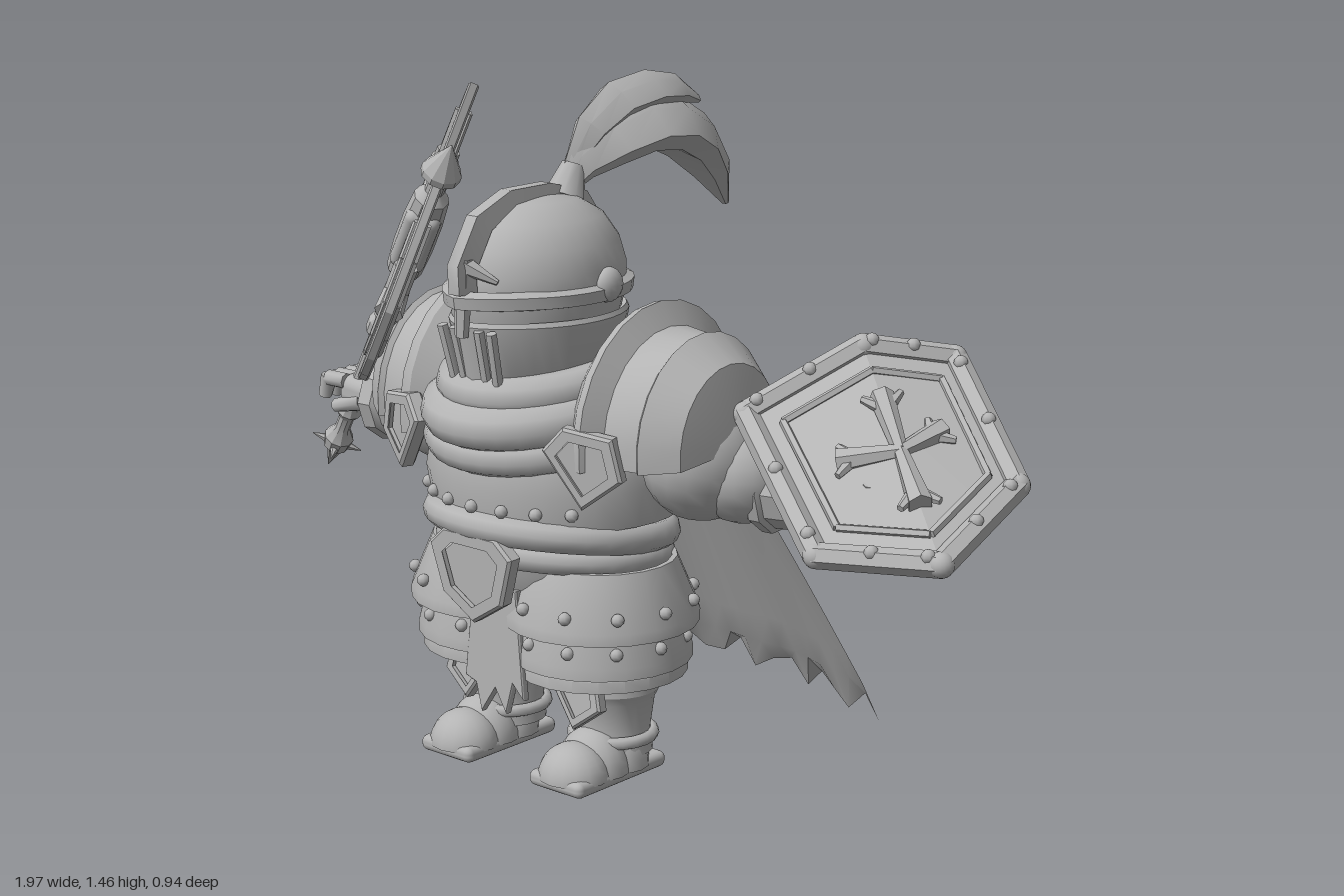
import * as THREE from 'three';
import { toCreasedNormals } from 'three/addons/utils/BufferGeometryUtils.js';
import { RoundedBoxGeometry } from 'three/addons/geometries/RoundedBoxGeometry.js';

const steel = new THREE.MeshStandardMaterial({ color: 0xb4b4b4, side: THREE.DoubleSide });
steel.name = 'steel grey';
const V = (x, y, z) => new THREE.Vector3(x, y, z);
const P = (list) => list.map(([x, y]) => new THREE.Vector2(x, y));

function add(parent, name, geo, pos = [0, 0, 0], rot = [0, 0, 0], scale = [1, 1, 1]) {
  const m = new THREE.Mesh(geo, steel);
  m.name = name;
  m.position.set(...pos); m.rotation.set(...rot); m.scale.set(...scale);
  parent.add(m);
  return m;
}
function group(parent, name) {
  const g = new THREE.Group();
  g.name = name; parent.add(g);
  return g;
}
const ball = (parent, name, pos, scale, rot) =>
  add(parent, name, new THREE.SphereGeometry(1, 18, 12), pos, rot, scale);
const rivet = (parent, p, r = 0.014) => add(parent, 'rivet', new THREE.SphereGeometry(r, 8, 6), p);

// cylinder between two points
function bar(parent, name, p, q, r1, r2 = r1, sides = 8) {
  const d = q.clone().sub(p);
  const m = add(parent, name, toCreasedNormals(new THREE.CylinderGeometry(r2, r1, d.length(), sides), 0.9),
    p.clone().lerp(q, 0.5).toArray());
  m.quaternion.setFromUnitVectors(V(0, 1, 0), d.normalize());
  return m;
}
// lathe with sharp edges kept
const lathe = (pts, seg = 24, start = 0, len = Math.PI * 2, crease = 0.5) =>
  toCreasedNormals(new THREE.LatheGeometry(P(pts), seg, start, len), crease);

// surface through cross-sections; quads where skip(i, j) is true are left out
function loft(rings, closed, skip = () => false) {
  const n = rings[0].length, idx = [];
  for (let i = 0; i < rings.length - 1; i++) for (let j = 0; j < (closed ? n : n - 1); j++) {
    if (skip(i, j)) continue;
    const a = i * n + j, b = i * n + (j + 1) % n;
    idx.push(a, b, a + n, b, b + n, a + n);
  }
  const g = new THREE.BufferGeometry();
  g.setAttribute('position', new THREE.Float32BufferAttribute(rings.flat().flatMap((p) => p.toArray()), 3));
  g.setIndex(idx);
  return toCreasedNormals(g, 0.6);
}
// convex prism from a polygon and an offset
function slab(pts, off) {
  const low = pts.map((p) => p.clone().add(off)), mid = (l) => l[0].clone().lerp(l[2], 0.5);
  return loft([pts.map(() => mid(pts)), pts, low, pts.map(() => mid(low))], true);
}
const extrude = (shape, depth, bevel = 0.006) => toCreasedNormals(new THREE.ExtrudeGeometry(shape,
  { depth, bevelSize: bevel, bevelThickness: bevel, bevelSegments: 1 }), 0.4);

// framed badge: raised border round a domed plate
function badge(parent, name, pts, pos, rot, size = 1) {
  const g = group(parent, name);
  const inner = pts.map(([x, y]) => [x * 0.72, y * 0.72]);
  const frame = new THREE.Shape(P(pts));
  frame.holes.push(new THREE.Path(P(inner)));
  add(g, 'border', extrude(frame, 0.025));
  add(g, 'plate', extrude(new THREE.Shape(P(inner)), 0.012, 0.008));
  g.position.set(...pos); g.rotation.set(...rot); g.scale.setScalar(size);
}
const PENTAGON = [[-0.08, 0.03], [-0.04, 0.075], [0.06, 0.06], [0.08, -0.02], [0, -0.08]];

function side(parent, s) {
  const g = group(parent, s > 0 ? 'leftSide' : 'rightSide');
  g.scale.x = s;
  // leg and boot
  add(g, 'leg', lathe([[0, 0.05], [0.085, 0.05], [0.08, 0.1], [0.09, 0.17], [0.1, 0.19], [0.095, 0.3], [0.14, 0.45], [0, 0.48]]), [0.155, 0, 0.15]);
  add(g, 'ankleBand', new THREE.TorusGeometry(0.085, 0.014, 8, 20), [0.155, 0.085, 0.15], [Math.PI / 2, 0, 0]);
  add(g, 'sole', new RoundedBoxGeometry(0.15, 0.035, 0.28, 2, 0.015), [0.16, 0.018, 0.205]);
  [[0.16, 0.11], [0.22, 0.095], [0.28, 0.075]].forEach(([z, h], i) =>
    add(g, 'bootPlate', new THREE.SphereGeometry(1, 16, 8, 0, Math.PI * 2, 0, Math.PI / 2), [0.16, 0.02, z], [0, 0, 0], [0.085 - i * 0.003, h, 0.075]));
  badge(g, 'kneeGuard', PENTAGON, [0.155, 0.19, 0.25], [-0.1, 0.05, 0], 0.8);
  // two-tier hip guard
  [[0.26, 0.4, 0.155, 0.175], [0.34, 0.48, 0.15, 0.19], [0.23, 0.3, 0.15, 0.165]].forEach(([y0, y1, r1, r0]) => {
    add(g, 'hipPlate', lathe([[r1, y1], [r0, y0], [r0 + 0.02, y0], [r0 + 0.02, y0 + 0.025], [r1 + 0.012, y1], [r1, y1]], 12, -0.5, 3.6),
      [0.135, 0, 0.165]);
    for (let a = -0.2; a < 3; a += 0.55) rivet(g, [0.135 + (r0 + 0.012) * Math.sin(a), y0 + 0.055, 0.165 + (r0 + 0.012) * Math.cos(a)]);
  });
  // shoulder guard: raised collar falling to an outer cap
  const cap = lathe([[0.2, 0.17], [0.27, 0.235], [0.275, 0.255], [0.255, 0.265], [0.225, 0.28], [0.215, 0.36], [0.225, 0.37], [0.17, 0.44], [0, 0.47]],
    14, Math.PI - 0.15, Math.PI + 0.3, 0.4);
  add(g, 'shoulderGuard', cap, [0, 0.755, 0.11], [0, 0, -Math.PI / 2], [1, 1, 0.93]);
  badge(g, 'shoulderBadge', PENTAGON, [0.25, 0.725, 0.335], [0, 0.35, 0]);
  badge(g, 'backBadge', PENTAGON, [0.24, 0.75, -0.11], [0, Math.PI - 0.3, 0], 0.8);
  // arm
  ball(g, 'shoulder', [0.36, 0.72, 0.09], [0.125, 0.14, 0.15], [0, 0, -0.2]);
  ball(g, 'upperArm', [0.43, 0.69, 0.05], [0.11, 0.11, 0.12]);
  const cuff = lathe([[0, 0], [0.085, 0], [0.1, 0.02], [0.1, 0.045], [0.088, 0.05], [0.082, 0.14], [0.094, 0.15], [0.1, 0.185], [0.08, 0.19], [0.05, 0.16], [0, 0.16]], 10);
  add(g, 'cuff', cuff, [0.46, 0.665, 0.03], [0, 0.1, -Math.PI / 2]);
  ball(g, 'elbowGuard', [0.5, 0.66, -0.05], [0.07, 0.07, 0.05]);
  add(g, 'hand', new RoundedBoxGeometry(0.13, 0.075, 0.12, 3, 0.03), [0.71, 0.665, 0.005], [0, 0, 0.1]);
  for (let i = 0; i < 4; i++) {
    const z = -0.045 + i * 0.032;
    bar(g, 'finger', V(0.75, 0.69, z), V(0.81, 0.69, z), 0.019);
    bar(g, 'fingertip', V(0.81, 0.695, z), V(0.825, 0.645, z), 0.019, 0.015);
  }
  bar(g, 'thumb', V(0.7, 0.65, 0.05), V(0.78, 0.63, 0.06), 0.022, 0.016);
}

function helmet(body) {
  const g = group(body, 'helmet');
  // dome, brow and face plate, drawn out to a beak in front
  const beak = (geo, amount) => {
    const p = geo.attributes.position;
    for (let i = 0; i < p.count; i++) if (p.getZ(i) > 0) p.setZ(i, p.getZ(i) + amount * Math.max(0, 1 - Math.abs(p.getX(i)) / 0.13));
    return toCreasedNormals(geo, 0.6);
  };
  const turned = (pts) => new THREE.LatheGeometry(P(pts), 32).scale(1, 1, 1.22);
  add(g, 'dome', beak(turned([[0.15, 0.98], [0.163, 1.04], [0.163, 1.09], [0.15, 1.14], [0.12, 1.19], [0.07, 1.225], [0, 1.235]]), 0.01), [0, 0, 0.2]);
  add(g, 'brow', beak(turned([[0.155, 1.025], [0.175, 1.03], [0.178, 1.055], [0.16, 1.065]]), 0.04), [0, 0, 0.2]);
  add(g, 'facePlate', beak(turned([[0.11, 0.81], [0.145, 0.85], [0.168, 0.99], [0.163, 1.0], [0.148, 0.99]]), 0.025), [0, 0, 0.2]);
  [-0.06, -0.03, 0.03, 0.06].forEach((x) =>
    bar(g, 'faceBar', V(x, 0.86, 0.39), V(x * 1.15, 0.985, 0.42), 0.011));
  bar(g, 'noseGuard', V(0, 0.97, 0.435), V(0, 1.13, 0.425), 0.014, 0.024, 6);
  [-1, 1].forEach((s) => {
    add(g, 'earBoss', new THREE.SphereGeometry(0.037, 14, 10), [s * 0.162, 1.06, 0.17], [0, 0, 0], [0.7, 1, 1]);
    bar(g, 'browWing', V(0, 1.12, 0.43), V(s * 0.065, 1.085, 0.395), 0.022, 0.006, 6);
  });
  // crest ridge along the centre line
  const ridge = [[0.455, 1.06], [0.458, 1.12], [0.4, 1.215], [0.3, 1.255], [0.18, 1.255], [0.07, 1.225], [-0.01, 1.12]];
  add(g, 'crest', loft(ridge.map(([z, y]) => {
    const k = V(0, y - 1.04, z - 0.2).multiplyScalar(0.18);
    return [V(-0.022, y - k.y, z - k.z), V(-0.015, y, z), V(0.015, y, z), V(0.022, y - k.y, z - k.z)];
  }), false));
  // feather plume: spine z, y, half width, half height
  const plume = (name, pts) => add(g, name, loft(pts.map(([z, y, w, h], i) => {
    const a = pts[Math.max(0, i - 1)], b = pts[Math.min(pts.length - 1, i + 1)];
    const n = V(0, a[0] - b[0], b[1] - a[1]).normalize();
    return [[0, 1], [0.55, 0.55], [1, -0.25], [0.6, -0.75], [0, -0.6], [-0.6, -0.75], [-1, -0.25], [-0.55, 0.55]]
      .map(([u, v]) => V(u * w, y + n.y * v * h, z + n.z * v * h));
  }), true));
  plume('plume', [[0.13, 1.23, 0.015, 0.02], [0.08, 1.28, 0.04, 0.045], [0.0, 1.32, 0.075, 0.065], [-0.1, 1.345, 0.098, 0.07],
    [-0.2, 1.335, 0.098, 0.07], [-0.29, 1.29, 0.08, 0.065], [-0.36, 1.22, 0.05, 0.05], [-0.405, 1.135, 0.008, 0.01]]);
  plume('plumeCrest', [[0.11, 1.27, 0.012, 0.02], [0.05, 1.35, 0.04, 0.04], [-0.03, 1.4, 0.055, 0.045], [-0.13, 1.415, 0.06, 0.042],
    [-0.22, 1.405, 0.05, 0.035], [-0.305, 1.375, 0.01, 0.01]]);
  add(g, 'plumeSocket', new THREE.CylinderGeometry(0.025, 0.045, 0.07, 10), [0, 1.25, 0.11], [-0.4, 0, 0]);
}

function torso(body) {
  add(body, 'breastplate', lathe([[0, 0.4], [0.2, 0.4], [0.235, 0.46], [0.25, 0.57], [0.275, 0.57], [0.29, 0.65], [0.275, 0.74], [0.21, 0.83], [0.1, 0.88]], 32),
    [0, 0, 0.15], [0, 0, 0], [1, 1, 0.92]);
  for (let i = -3; i <= 3; i++) rivet(body, [0.283 * Math.sin(i * 0.27), 0.61, 0.15 + 0.264 * Math.cos(i * 0.27)]);
  // belt rolls and neck scarf
  const ring = (name, r, t, y, z, tilt, sz) => add(body, name, new THREE.TorusGeometry(r, t, 10, 32), [0, y, z], [Math.PI / 2 + tilt, 0, 0], [1, sz, 1]);
  ring('belt', 0.25, 0.032, 0.535, 0.17, -0.14, 0.95);
  ring('belt', 0.24, 0.028, 0.485, 0.16, -0.1, 0.9);
  ring('scarf', 0.17, 0.045, 0.865, 0.185, 0.12, 1.15);
  ring('scarf', 0.2, 0.05, 0.815, 0.18, 0.15, 1.15);
  ring('scarf', 0.225, 0.04, 0.76, 0.17, 0.18, 1.05);
  // buckle and torn front cloth
  badge(body, 'buckle', [[-0.11, 0.05], [-0.07, 0.085], [0.07, 0.085], [0.11, 0.05], [0.08, -0.05], [0, -0.1], [-0.08, -0.05]], [0, 0.465, 0.39], [0.05, 0, 0]);
  const cloth = new THREE.Shape(P([[-0.06, 0.42], [0.06, 0.42], [0.08, 0.19], [0.05, 0.22], [0.03, 0.15], [0, 0.2], [-0.04, 0.14], [-0.055, 0.2], [-0.085, 0.21]]));
  add(body, 'frontCloth', extrude(cloth, 0.012, 0.003), [0, 0, 0.335]);
  // cape with a ragged hem and a small tear
  const rows = [], N = 18, M = 10;
  for (let i = 0; i <= M; i++) {
    const t = i / M, row = [];
    for (let j = 0; j <= N; j++) {
      const s = j / N * 2 - 1;
      const hem = i === M ? 0.03 * Math.sin(j * 2.3) + 0.025 * (1 - s * s) : 0;
      const z = -0.1 - 0.37 * t + 0.1 * t * s * s + 0.07 * (1 - t) * s * s + 0.008 * t * Math.sin(s * 11);
      row.push(V(s * (0.2 + 0.27 * Math.pow(t, 0.8)), 0.82 - 0.77 * t + hem, z));
    }
    rows.push(row);
  }
  add(body, 'cape', loft(rows, false, (i, j) => i === 7 && j === 2));
}

function axe(parent) {
  const g = group(parent, 'axe');
  const d = V(0.56, 0.81, 0.15).normalize();
  const w = V(0.455, -0.44, 0.77).addScaledVector(d, -d.dot(V(0.455, -0.44, 0.77))).normalize();
  g.applyMatrix4(new THREE.Matrix4().makeBasis(w, d, w.clone().cross(d)).setPosition(-0.545, 1.08, 0.1));
  add(g, 'handle', lathe([[0, -0.72], [0.03, -0.7], [0.035, -0.67], [0.018, -0.64], [0.018, -0.6], [0.03, -0.58], [0.02, -0.56], [0.02, -0.33], [0.034, -0.31], [0.034, -0.28],
    [0.02, -0.26], [0.022, -0.13], [0.04, -0.11], [0.045, -0.04], [0.045, 0.04], [0.04, 0.11], [0.022, 0.13], [0.022, 0.16], [0.045, 0.175], [0.045, 0.19], [0, 0.265]], 10));
  for (let i = 0; i < 4; i++) {
    const a = i * Math.PI / 2;
    bar(g, 'pommelSpike', V(0, -0.69, 0), V(Math.cos(a) * 0.06, -0.69, Math.sin(a) * 0.06), 0.018, 0.001, 6);
  }
  bar(g, 'pommelPoint', V(0, -0.71, 0), V(0, -0.77, 0), 0.02, 0.001, 6);
  const half = [[0.03, 0.07], [0.12, 0.09], [0.19, 0.29], [0.29, 0.18], [0.355, 0.07]];
  const outline = [...half, ...half.map(([u, v]) => [u, -v]).reverse()];
  const frame = [[0.09, 0.05], [0.15, 0.07], [0.205, 0.2], [0.26, 0.14], [0.305, 0.05]];
  const loop = [...frame, ...frame.map(([u, v]) => [u, -v]).reverse()];
  [-1, 1].forEach((s) => {
    const b = group(g, 'axeHead');
    b.rotation.y = s > 0 ? 0 : Math.PI;
    add(b, 'blade', extrude(new THREE.Shape(P(outline)), 0.016, 0.004), [0, 0, -0.008]);
    [-0.014, 0.014].forEach((z) => {
      loop.forEach(([u, v], i) => {
        const [p, q] = loop[(i + 1) % loop.length];
        bar(b, 'bladeTrim', V(u, v, z), V(p, q, z), 0.007, 0.007, 5);
      });
      bar(b, 'bladeCross', V(0.13, 0, z), V(0.28, 0, z), 0.01, 0.018, 6);
      bar(b, 'bladeCross', V(0.21, -0.08, z), V(0.21, 0.08, z), 0.013, 0.013, 6);
    });
  });
  add(g, 'axeSocket', new RoundedBoxGeometry(0.1, 0.16, 0.08, 2, 0.02));
}

function shield(parent) {
  const g = group(parent, 'shield');
  const F = V(0.535, 0.955, -0.09), A = V(0.66, 0.925, -0.235), B = V(0.945, 0.745, -0.05);
  const C = V(0.97, 0.655, 0.235), D = V(0.715, 0.635, 0.29), E = V(0.385, 0.825, 0.1);
  const n = V(0.27, 0.85, 0.43).normalize(), mid = F.clone().lerp(C, 0.5);
  // two plates folded along the centre line
  [[F, A, B, C], [F, C, D, E]].forEach((q) => add(g, 'panel', slab(q, n.clone().multiplyScalar(-0.03))));
  const edge = [F, A, B, C, D, E];
  edge.forEach((p, i) => {
    const q = edge[(i + 1) % 6], up = n.clone().multiplyScalar(0.02);
    bar(g, 'rim', p, q, 0.026, 0.026, 6);
    ball(g, 'rimCorner', p.toArray(), [0.026, 0.026, 0.026]);
    const inset = (v) => v.clone().lerp(mid, 0.25).addScaledVector(n, 0.004);
    bar(g, 'innerTrim', inset(p), inset(q), 0.009, 0.009, 5);
    [0.1, 0.55].forEach((t) => rivet(g, p.clone().lerp(q, t).add(up).toArray(), 0.015));
  });
  // flared cross
  [F, A.clone().lerp(B, 0.45), C, E.clone().lerp(D, 0.45)].forEach((p) => {
    const tip = mid.clone().lerp(p, 0.5).addScaledVector(n, 0.006);
    bar(g, 'crossArm', mid, tip, 0.015, 0.026, 6);
    const across = p.clone().sub(mid).cross(n).normalize().multiplyScalar(0.04);
    [-1, 1].forEach((s) => bar(g, 'crossFlare', mid.clone().lerp(tip, 0.75), tip.clone().addScaledVector(across, s), 0.016, 0.008, 6));
  });
  bar(g, 'grip', V(0.69, 0.7, -0.09), V(0.71, 0.66, 0.11), 0.016);
  bar(g, 'gripPost', V(0.69, 0.7, -0.09), V(0.71, 0.83, -0.08), 0.014);
  bar(g, 'gripPost', V(0.71, 0.66, 0.11), V(0.73, 0.75, 0.14), 0.014);
}

export function createModel() {
  const model = new THREE.Group();
  model.name = 'armouredKnight';
  const body = group(model, 'body');
  body.position.x = -0.085;
  torso(body);
  helmet(body);
  [-1, 1].forEach((s) => side(body, s));
  axe(model);
  shield(model);
  return model;
}
